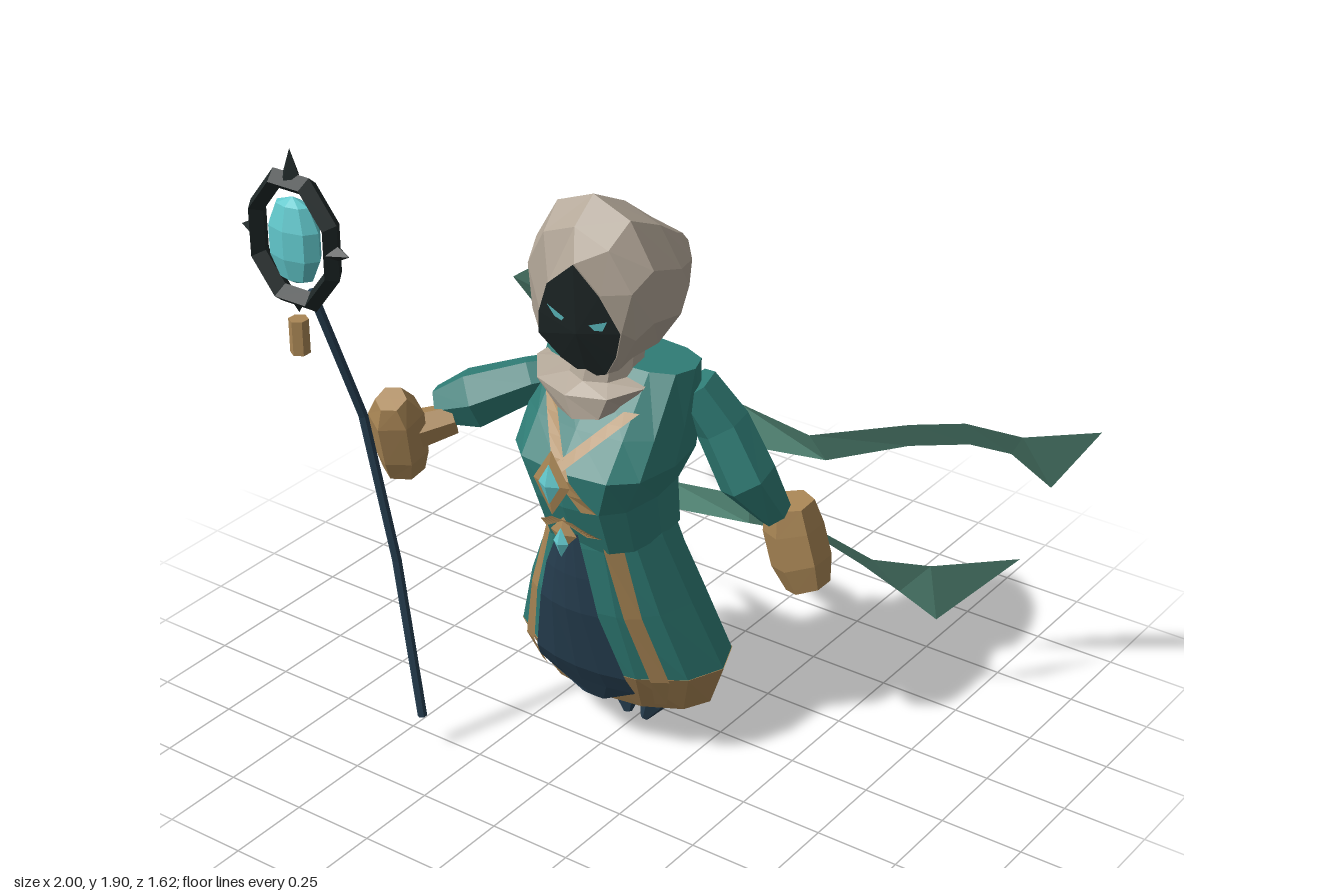
import * as THREE from 'three';

const mat = (name, color, side = THREE.FrontSide) => {
  const m = new THREE.MeshStandardMaterial({ color, side });
  m.name = name;
  return m;
};
const V = (x, y, z) => new THREE.Vector3(x, y, z);

// Flat, faceted geometry from a list of triangle corners
function fromTriangles(tris) {
  const g = new THREE.BufferGeometry().setFromPoints(tris);
  g.computeVertexNormals();
  return g;
}
function facet(geo) {
  const g = geo.index ? geo.toNonIndexed() : geo;
  g.computeVertexNormals();
  return g;
}

// Closed solid through a row of loops; corners are ordered to face outwards
function loft(loops) {
  const tris = [], n = loops[0].length;
  for (let i = 0; i < loops.length - 1; i++)
    for (let j = 0; j < n; j++) {
      const k = (j + 1) % n, a = loops[i], b = loops[i + 1];
      tris.push(a[j], a[k], b[k], a[j], b[k], b[j]);
    }
  [loops[0], loops[loops.length - 1]].forEach((loop, end) => {
    const c = loop.reduce((s, p) => s.add(p), V(0, 0, 0)).divideScalar(n);
    for (let j = 0; j < n; j++) {
      const p = loop[j], q = loop[(j + 1) % n];
      tris.push(...(end ? [c, p, q] : [c, q, p]));
    }
  });
  let volume = 0;
  const x = V(0, 0, 0);
  for (let i = 0; i < tris.length; i += 3) volume += tris[i].dot(x.crossVectors(tris[i + 1], tris[i + 2]));
  return fromTriangles(volume < 0 ? tris.reverse() : tris);
}

// Limb through [x, y, z, radius] stations
function limb(stations, sides = 6) {
  const pts = stations.map(s => V(s[0], s[1], s[2]));
  return loft(pts.map((p, i) => {
    const dir = pts[Math.min(i + 1, pts.length - 1)].clone().sub(pts[Math.max(i - 1, 0)]).normalize();
    const u = V(0, 0, 1).cross(dir).normalize(), w = dir.clone().cross(u);
    return Array.from({ length: sides }, (_, j) => {
      const a = (j + 0.5) / sides * Math.PI * 2, r = stations[i][3];
      return p.clone().addScaledVector(u, Math.cos(a) * r).addScaledVector(w, Math.sin(a) * r);
    });
  }));
}

// Garment rings: [y, centre x, half width, back z, front z]; e below 1 makes them boxy
const pow = (v, e) => Math.sign(v) * Math.abs(v) ** e;
function garment(rings, e, sides) {
  return loft(rings.map(([y, cx, rx, zb, zf]) => Array.from({ length: sides }, (_, j) => {
    const a = j / sides * Math.PI * 2;
    return V(cx + rx * pow(Math.sin(a), e), y, (zf + zb) / 2 + (zf - zb) / 2 * pow(Math.cos(a), e));
  })));
}
function frontZ(rings, e, x, y) {
  let i = 0;
  while (i < rings.length - 2 && y < rings[i + 1][0]) i++;
  const t = THREE.MathUtils.clamp((rings[i][0] - y) / (rings[i][0] - rings[i + 1][0]), 0, 1);
  const [, cx, rx, zb, zf] = rings[i].map((v, k) => v + (rings[i + 1][k] - v) * t);
  const s = Math.min(1, Math.abs((x - cx) / rx) ** (1 / e));
  return (zf + zb) / 2 + (zf - zb) / 2 * Math.sqrt(1 - s * s) ** e;
}
// Cloth laid on the front of a garment; rows are [y, left x, right x], top first
function drape(rings, e, rows, off, cols = 1) {
  return sheet(rows.map(([y, x0, x1]) => Array.from({ length: cols + 1 }, (_, j) => {
    const x = x0 + (x1 - x0) * j / cols;
    return V(x, y, frontZ(rings, e, x, y) + off);
  })));
}
function sheet(grid) {
  const tris = [];
  for (let i = 0; i < grid.length - 1; i++)
    for (let j = 0; j < grid[i].length - 1; j++) {
      const a = grid[i][j], b = grid[i][j + 1], c = grid[i + 1][j], d = grid[i + 1][j + 1];
      tris.push(a, c, d, a, d, b);
    }
  return fromTriangles(tris);
}

export function createModel() {
  const teal = mat('teal cloth', 0x2f7c75), gold = mat('gold trim', 0xa98655);
  const grey = mat('hood cloth', 0xb3a798), navy = mat('navy cloth', 0x263e50);
  const dark = mat('dark metal', 0x1e2727), cyan = mat('cyan crystal', 0x62c8cc);
  const green = mat('ribbon cloth', 0x6aaa95, THREE.DoubleSide);
  const root = new THREE.Group();
  root.name = 'hoodedMage';
  const add = (name, geo, material, pos) => {
    const m = new THREE.Mesh(geo, material);
    m.name = name;
    if (pos) m.position.set(...pos);
    root.add(m);
    return m;
  };

  // Robe
  const torso = [[1.22, -0.015, 0.235, 0, 0.2], [1.06, -0.015, 0.235, -0.03, 0.33],
    [0.96, -0.015, 0.235, -0.02, 0.41], [0.85, -0.01, 0.175, 0, 0.4], [0.71, 0, 0.165, 0, 0.355]];
  const skirt = [[0.77, 0, 0.15, 0, 0.36], [0.71, -0.005, 0.175, -0.01, 0.365],
    [0.5, -0.02, 0.26, -0.08, 0.35], [0.28, -0.03, 0.34, -0.14, 0.3]];
  const hem = [[0.28, -0.03, 0.342, -0.142, 0.302], [0.15, -0.025, 0.29, -0.08, 0.235]];
  const robe = [...skirt, hem[1]];
  add('torso', garment(torso, 0.7, 12), teal);
  add('skirt', garment(skirt, 1, 12), teal);
  add('hem', garment(hem, 1, 12), gold);
  add('apron', drape(robe, 1, [[0.76, -0.05, 0.02], [0.62, -0.11, 0.05], [0.5, -0.14, 0.07],
    [0.28, -0.2, 0.12], [0.22, -0.22, 0.13], [0.152, -0.06, 0.01]], 0.014, 4), navy);
  add('rightSkirtStripe', drape(robe, 1, [[0.75, -0.13, -0.095], [0.71, -0.145, -0.105],
    [0.5, -0.205, -0.165], [0.28, -0.265, -0.22], [0.18, -0.24, -0.21]], 0.01), gold);
  add('leftSkirtStripe', drape(robe, 1, [[0.75, 0.08, 0.115], [0.71, 0.09, 0.13],
    [0.5, 0.135, 0.175], [0.28, 0.185, 0.23], [0.18, 0.17, 0.2]], 0.01), gold);

  // Chest straps, belt and jewels
  const strap = (name, x0, y0, x1, y1) => add(name, drape(torso, 0.7, Array.from({ length: 7 }, (_, i) => {
    const t = i / 6, x = x0 + (x1 - x0) * t;
    return [y0 + (y1 - y0) * t, x - 0.021, x + 0.021];
  }), 0.013), gold);
  strap('rightStrap', -0.14, 1.13, 0.08, 0.86);
  strap('leftStrap', 0.13, 1.13, -0.06, 0.93);
  strap('rightBeltTie', -0.03, 0.81, -0.11, 0.755);
  strap('leftBeltTie', 0.0, 0.81, 0.08, 0.77);
  const jewel = (name, material, pos, size) =>
    add(name, facet(new THREE.OctahedronGeometry(1).scale(...size)), material, pos);
  jewel('chestSetting', gold, [-0.02, 0.94, 0.435], [0.062, 0.1, 0.02]);
  jewel('chestGem', cyan, [-0.02, 0.94, 0.447], [0.036, 0.062, 0.018]);
  jewel('beltSetting', gold, [-0.02, 0.76, 0.385], [0.045, 0.05, 0.016]);
  jewel('beltGem', cyan, [-0.02, 0.735, 0.398], [0.026, 0.047, 0.017]);

  // Collar, neck and the cowl's back flap
  const tilted = (cx, y, cz, rx, rz, drop) => Array.from({ length: 9 }, (_, j) => {
    const a = j / 9 * Math.PI * 2;
    return V(cx + rx * Math.sin(a), y - drop * Math.cos(a), cz + rz * Math.cos(a));
  });
  add('collar', loft([tilted(-0.01, 1.28, 0.17, 0.09, 0.1, 0), tilted(-0.02, 1.2, 0.18, 0.1, 0.11, 0.01),
    tilted(-0.045, 1.19, 0.2, 0.185, 0.14, 0.03), tilted(-0.02, 1.13, 0.23, 0.11, 0.11, 0.035)]), grey);
  add('backFlap', loft([0, 0.008].map(d => [V(-0.11, 1.16, -0.022 - d), V(0.11, 1.16, -0.022 - d),
    V(0.085, 1.06, -0.034 - d), V(0, 0.97, -0.028 - d), V(-0.085, 1.06, -0.034 - d)])), grey);

  // Hood: almond face opening, then loops given by top (y, z), bottom (y, z) and half width
  const opening = [[0.025, 1.585], [0.09, 1.5], [0.135, 1.39], [0.1, 1.3], [0.05, 1.225],
    [-0.02, 1.195], [-0.1, 1.235], [-0.16, 1.3], [-0.14, 1.38], [-0.085, 1.49]]
    .map(([x, y]) => V(x, y, 0.265 + (y - 1.2) * 0.3));
  const hoodLoops = [[1.655, 0.315, 1.2, 0.262, 0.182], [1.72, 0.23, 1.22, 0.225, 0.205],
    [1.65, 0.09, 1.22, 0.1, 0.2], [1.56, -0.03, 1.32, 0.01, 0.155],
    [1.49, -0.13, 1.43, -0.12, 0.06], [1.465, -0.15, 1.455, -0.15, 0.015]].map(([yt, zt, yb, zb, w]) =>
    Array.from({ length: 10 }, (_, j) => {
      const a = j / 10 * Math.PI * 2, t = (1 - Math.cos(a)) / 2;
      return V(-0.022 + w * Math.sin(a), yt + (yb - yt) * t, zt + (zb - zt) * t);
    }));
  add('hood', loft([opening, ...hoodLoops]), grey);
  const rim = opening.map(p => p.clone().add(V(0, 0, 0.005)));
  const nose = V(0, 1.36, 0.345);
  add('faceShadow', fromTriangles(rim.flatMap((p, j) => [nose, rim[(j + 1) % 10], p])), dark);
  for (const s of [-1, 1]) {
    const e = (x, y) => V(0.012 + s * x, y, 0.365 - x * 0.16 + (y - 1.41) * 0.3);
    const tri = [e(0.04, 1.405), e(0.1, 1.43), e(0.08, 1.395), e(0.04, 1.405), e(0.08, 1.395), e(0.055, 1.39)];
    add(s < 0 ? 'rightEye' : 'leftEye', fromTriangles(s < 0 ? tri : tri.reverse()), cyan);
  }

  // Arms and hands
  add('rightSleeve', limb([[-0.16, 1.12, 0.13, 0.055], [-0.25, 1.1, 0.22, 0.065],
    [-0.38, 1.04, 0.315, 0.088], [-0.47, 1.01, 0.36, 0.055]]), teal);
  add('rightWrist', limb([[-0.41, 0.99, 0.37, 0.045], [-0.5, 0.96, 0.46, 0.06]]), gold);
  add('rightHand', limb([[-0.5, 1.09, 0.53, 0.045], [-0.51, 1.03, 0.5, 0.08],
    [-0.515, 0.9, 0.475, 0.075], [-0.52, 0.84, 0.465, 0.06]]), gold);
  add('leftSleeve', limb([[0.18, 1.14, 0.05, 0.07], [0.25, 1.02, 0.01, 0.08],
    [0.33, 0.87, 0, 0.085], [0.385, 0.75, -0.06, 0.05]]), teal);
  add('leftHand', limb([[0.39, 0.76, -0.125, 0.07], [0.4, 0.68, -0.13, 0.088],
    [0.43, 0.58, -0.13, 0.088], [0.455, 0.505, -0.13, 0.065]]), gold);

  // Pointed feet
  for (const s of [-1, 1])
    add(s < 0 ? 'rightFoot' : 'leftFoot', limb([[s * 0.062, 0.24, 0.01, 0.07],
      [s * 0.064, 0.12, 0.025, 0.064], [s * 0.045, 0.05, 0.055, 0.042], [s * 0.03, 0, 0.075, 0.012]]), navy);

  // Staff with ringed crystal
  add('staffPole', limb([[-0.41, 0.1, 0.56, 0.014], [-0.477, 0.6, 0.563, 0.014],
    [-0.537, 1.06, 0.605, 0.014], [-0.59, 1.47, 0.725, 0.014]]), navy);
  const head = [-0.6, 1.63, 0.765];
  add('staffRing', facet(new THREE.TorusGeometry(0.139, 0.023, 4, 8).rotateZ(Math.PI / 8).scale(1, 1.28, 1.5)), dark, head);
  [[0, 0.22, 0.08], [0.16, 0, 0.055], [0, -0.185, 0.05], [-0.16, 0, 0.055]].forEach(([x, y, h], i) => {
    const spike = add('ringSpike' + (i + 1), facet(new THREE.ConeGeometry(0.03, h, 4)), dark,
      [head[0] + x, head[1] + y, head[2]]);
    spike.rotation.z = -i * Math.PI / 2;
  });
  const profile = [[0, -0.125], [0.055, -0.105], [0.085, -0.04], [0.085, 0.04], [0.055, 0.105], [0, 0.125]];
  add('staffCrystal', facet(new THREE.LatheGeometry(profile.map(p => new THREE.Vector2(...p)), 8).scale(1, 1, 0.56)),
    cyan, head);
  add('staffCharm', facet(new THREE.CylinderGeometry(0.028, 0.028, 0.1, 6)), gold, [-0.605, 1.35, 0.765]);

  // Trailing ribbons, mirrored
  const upper = [[[0.15, 1.08, -0.01], [0.15, 0.97, -0.01]], [[0.23, 1.04, -0.09], [0.26, 0.9, -0.11]],
    [[0.4, 0.94, -0.2], [0.42, 0.84, -0.26]], [[0.64, 0.985, -0.345], [0.59, 0.865, -0.43]],
    [[0.76, 0.985, -0.44], [0.72, 0.86, -0.545]], [[0.9, 0.95, -0.52], [0.81, 0.82, -0.63]],
    [[1, 0.87, -0.81], [0.9, 0.7, -0.715]]];
  const lower = [[[0.08, 0.79, 0.02], [0.1, 0.7, 0.01]], [[0.28, 0.76, -0.08], [0.27, 0.66, -0.1]],
    [[0.43, 0.65, -0.2], [0.4, 0.6, -0.24]], [[0.55, 0.53, -0.32], [0.5, 0.48, -0.35]],
    [[0.68, 0.5, -0.43], [0.58, 0.38, -0.43]], [[0.83, 0.45, -0.69], [0.66, 0.27, -0.515]]];
  for (const s of [1, -1])
    for (const [name, rows] of [['UpperRibbon', upper], ['LowerRibbon', lower]])
      add((s > 0 ? 'left' : 'right') + name, sheet(rows.map(r => r.map(p => V(p[0] * s, p[1], p[2])))), green);

  return root;
}
